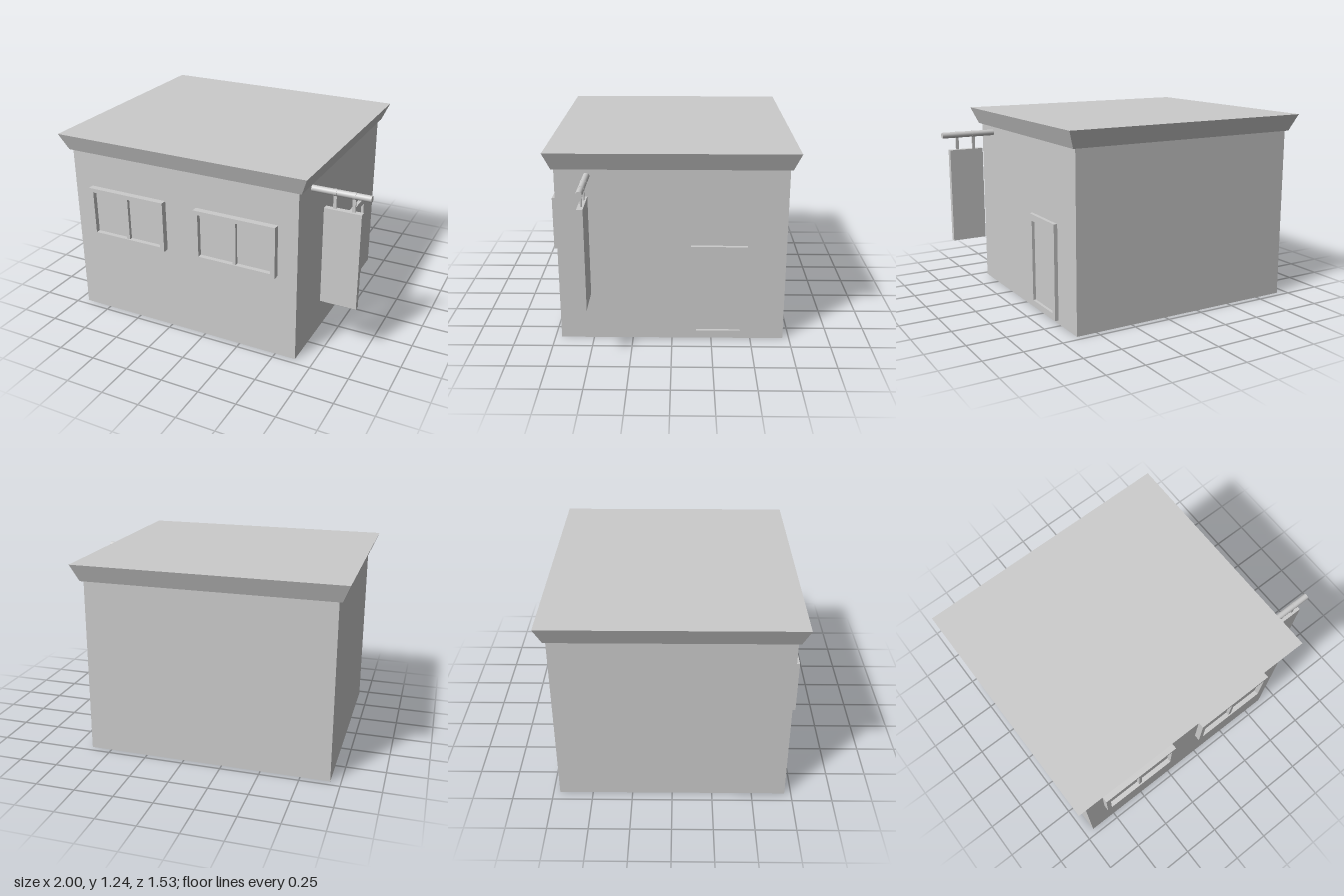
import * as THREE from 'three';

const material = new THREE.MeshStandardMaterial({ color: 0xcccccc, flatShading: true });
const smooth = new THREE.MeshStandardMaterial({ color: 0xcccccc });
const thin = new THREE.MeshStandardMaterial({ color: 0xcccccc, flatShading: true, side: THREE.DoubleSide });

function add(parent, name, geometry, x, y, z, mat = material) {
  const mesh = new THREE.Mesh(geometry, mat);
  mesh.name = name;
  mesh.position.set(x, y, z);
  parent.add(mesh);
  return mesh;
}

const box = (w, h, d) => new THREE.BoxGeometry(w, h, d);

// Rectangular frame lying in the xy plane, from z = 0 to z = depth
function frameGeometry(w, h, holeW, holeH, depth, holeY = 0) {
  const rect = (Type, a, b, cy) => new Type([
    new THREE.Vector2(-a / 2, cy - b / 2), new THREE.Vector2(a / 2, cy - b / 2),
    new THREE.Vector2(a / 2, cy + b / 2), new THREE.Vector2(-a / 2, cy + b / 2),
  ]);
  const shape = rect(THREE.Shape, w, h, 0);
  shape.holes.push(rect(THREE.Path, holeW, holeH, holeY));
  return new THREE.ExtrudeGeometry(shape, { depth, bevelEnabled: false });
}

export function createModel() {
  const model = new THREE.Group();
  model.name = 'shop';
  const cx = -0.15; // centre of the building

  // Four walls, open underneath
  const walls = box(1.57, 1.13, 1.418);
  const index = Array.from(walls.index.array);
  walls.setIndex([...index.slice(0, 12), ...index.slice(24)]);
  add(model, 'walls', walls, cx, 0.565, 0, thin);

  // Flat roof with sides that flare outward
  const roof = box(1.7, 0.11, 1.53);
  const p = roof.attributes.position;
  for (let i = 0; i < p.count; i++) {
    if (p.getY(i) < 0) {
      p.setX(i, Math.sign(p.getX(i)) * 0.805);
      p.setZ(i, Math.sign(p.getZ(i)) * 0.722);
    }
  }
  roof.computeVertexNormals();
  add(model, 'roof', roof, cx, 1.185, 0);

  // Two front windows with a centre bar
  for (const x of [-0.533, 0.233]) {
    const win = new THREE.Group();
    win.name = 'window';
    win.position.set(x, 0.731, 0.702);
    add(win, 'windowFrame', frameGeometry(0.548, 0.338, 0.486, 0.284, 0.048), 0, 0, 0);
    add(win, 'windowPane', box(0.5, 0.3, 0.014), 0, 0, 0.01);
    add(win, 'windowBar', box(0.022, 0.29, 0.026), 0, 0, 0.026);
    model.add(win);
  }

  // Door on the building's left side
  const door = new THREE.Group();
  door.name = 'door';
  door.position.set(0.63, 0.331, -0.293);
  door.rotation.y = Math.PI / 2;
  add(door, 'doorFrame', frameGeometry(0.35, 0.616, 0.28, 0.53, 0.029, -0.002), 0, 0, 0);
  add(door, 'doorPanel', box(0.29, 0.54, 0.01), 0, 0, 0.005);
  model.add(door);

  // Hanging sign: pole, two hangers with rings, board
  const sign = new THREE.Group();
  sign.name = 'hangingSign';
  sign.position.z = 0.513;
  const pole = new THREE.CylinderGeometry(0.02, 0.02, 0.365, 20);
  add(sign, 'pole', pole, 0.8175, 1.085, 0, smooth).rotation.z = Math.PI / 2;
  for (const x of [0.78, 0.896]) {
    add(sign, 'hanger', box(0.02, 0.09, 0.01), x, 1.02, 0.002);
    const ring = new THREE.CylinderGeometry(0.0215, 0.0215, 0.02, 20);
    add(sign, 'ring', ring, x, 1.085, 0, smooth).rotation.z = Math.PI / 2;
  }
  add(sign, 'board', box(0.232, 0.632, 0.037), 0.836, 0.667, 0.005);
  model.add(sign);

  return model;
}
